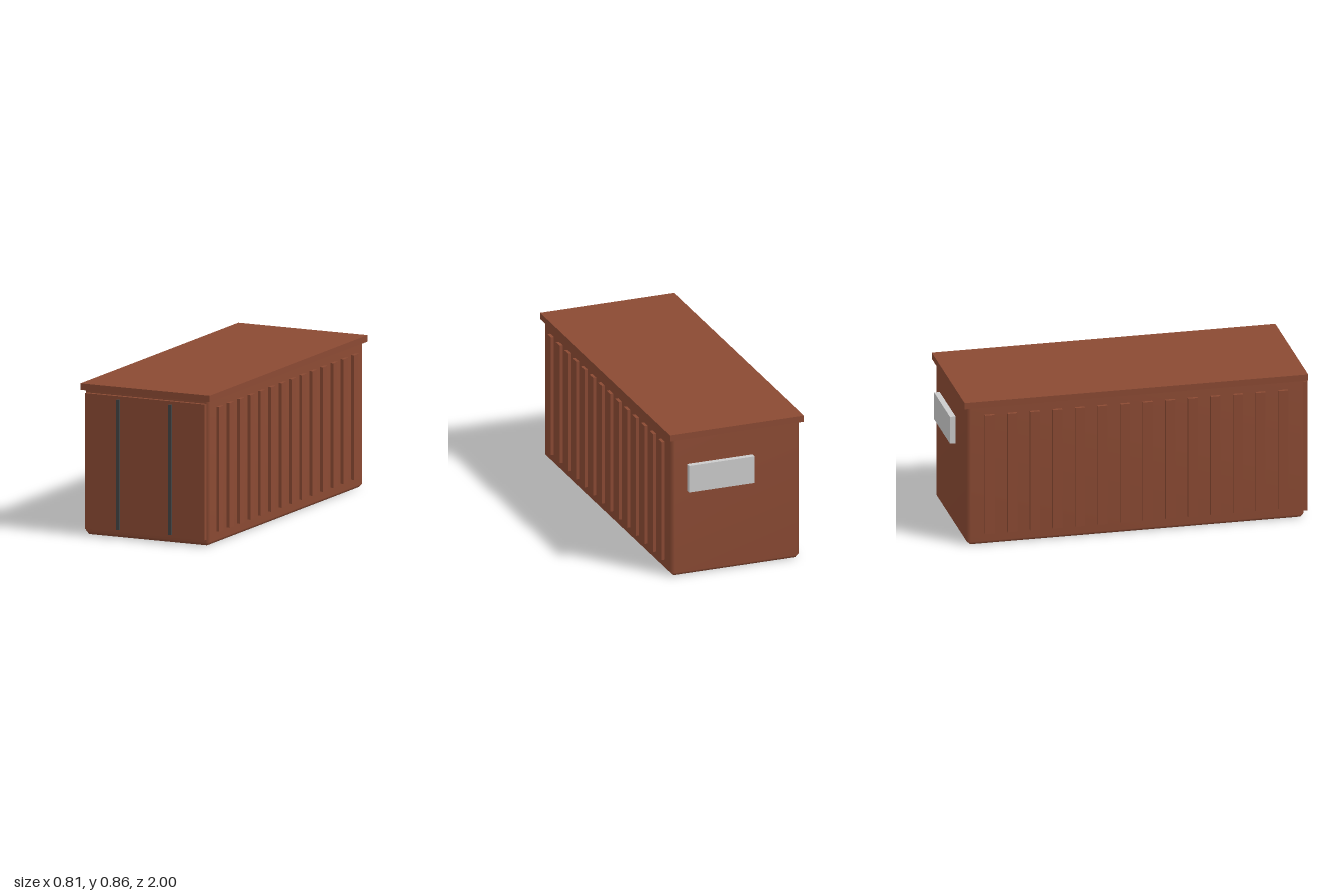
import * as THREE from 'three';
import { mergeVertices } from 'three/addons/utils/BufferGeometryUtils.js';

const rust = new THREE.MeshStandardMaterial({ color: 0x8b4a33 });
const steel = new THREE.MeshStandardMaterial({ color: 0x444444 });
const grey = new THREE.MeshStandardMaterial({ color: 0xcccccc });

// Box given by its minimum and maximum corners
function box(name, material, [x0, y0, z0], [x1, y1, z1]) {
  const mesh = new THREE.Mesh(new THREE.BoxGeometry(x1 - x0, y1 - y0, z1 - z0), material);
  mesh.position.set((x0 + x1) / 2, (y0 + y1) / 2, (z0 + z1) / 2);
  mesh.name = name;
  return mesh;
}

// Box with every edge chamfered by c and softly shaded
function chamferedBox(w, h, d, c) {
  const x = w / 2 - c, y = h / 2 - c;
  const shape = new THREE.Shape([
    [x, -y - c], [x + c, -y], [x + c, y], [x, y + c],
    [-x, y + c], [-x - c, y], [-x - c, -y], [-x, -y - c],
  ].map(([px, py]) => new THREE.Vector2(px, py)));
  let geo = new THREE.ExtrudeGeometry(shape, { depth: d, bevelEnabled: false });
  geo.translate(0, 0, -d / 2);
  geo.deleteAttribute('uv');
  geo.deleteAttribute('normal');
  geo.dispose();

  // Rings from end to end: inset cap, full section, full section, inset cap
  const full = shape.getPoints();
  const rings = [
    full.map(p => [THREE.MathUtils.clamp(p.x, -x, x), THREE.MathUtils.clamp(p.y, -y, y), -d / 2]),
    full.map(p => [p.x, p.y, -d / 2 + c]),
    full.map(p => [p.x, p.y, d / 2 - c]),
    full.map(p => [THREE.MathUtils.clamp(p.x, -x, x), THREE.MathUtils.clamp(p.y, -y, y), d / 2]),
  ];
  const n = full.length, index = [];
  for (let r = 0; r < 3; r++) {
    for (let i = 0; i < n; i++) {
      const a = r * n + i, b = r * n + (i + 1) % n;
      index.push(a, b, b + n, a, b + n, a + n);
    }
  }
  for (let i = 1; i < n - 1; i++) {
    index.push(0, i + 1, i);
    index.push(3 * n, 3 * n + i, 3 * n + i + 1);
  }
  geo = new THREE.BufferGeometry();
  geo.setAttribute('position', new THREE.Float32BufferAttribute(rings.flat(2), 3));
  geo.setIndex(index);
  geo = mergeVertices(geo);
  geo.computeVertexNormals();
  return geo;
}

export function createModel() {
  const group = new THREE.Group();
  group.name = 'shippingContainer';

  // Main body
  const body = new THREE.Mesh(chamferedBox(0.774, 0.84, 1.931, 0.02), rust);
  body.name = 'body';
  body.position.set(0, 0.42, -0.0025);
  group.add(body);

  // Overhanging roof slab
  group.add(box('roof', rust, [-0.403, 0.823, -0.987], [0.403, 0.86, 0.981]));

  // Door panel with two vertical lock bars
  group.add(box('doorPanel', rust, [-0.372, 0.035, 0.95], [0.372, 0.808, 0.985]));
  for (const x of [-0.162, 0.162]) {
    group.add(box('lockBar', steel, [x - 0.009, 0.05, 0.975], [x + 0.009, 0.79, 1]));
  }

  // Rows of vertical ribs along both sides
  const ribs = new THREE.Group();
  ribs.name = 'sideRibs';
  for (const side of [-1, 1]) {
    for (let i = 0; i < 14; i++) {
      const z = 0.839 - i * 0.1293;
      const x = side * 0.39;
      ribs.add(box('rib', rust, [x - 0.015, 0.067, z - 0.0275], [x + 0.015, 0.775, z + 0.0275]));
    }
  }
  group.add(ribs);

  // Plate on the rear wall
  group.add(box('rearPlate', grey, [-0.1, 0.505, -1], [0.29, 0.665, -0.96]));

  return group;
}
